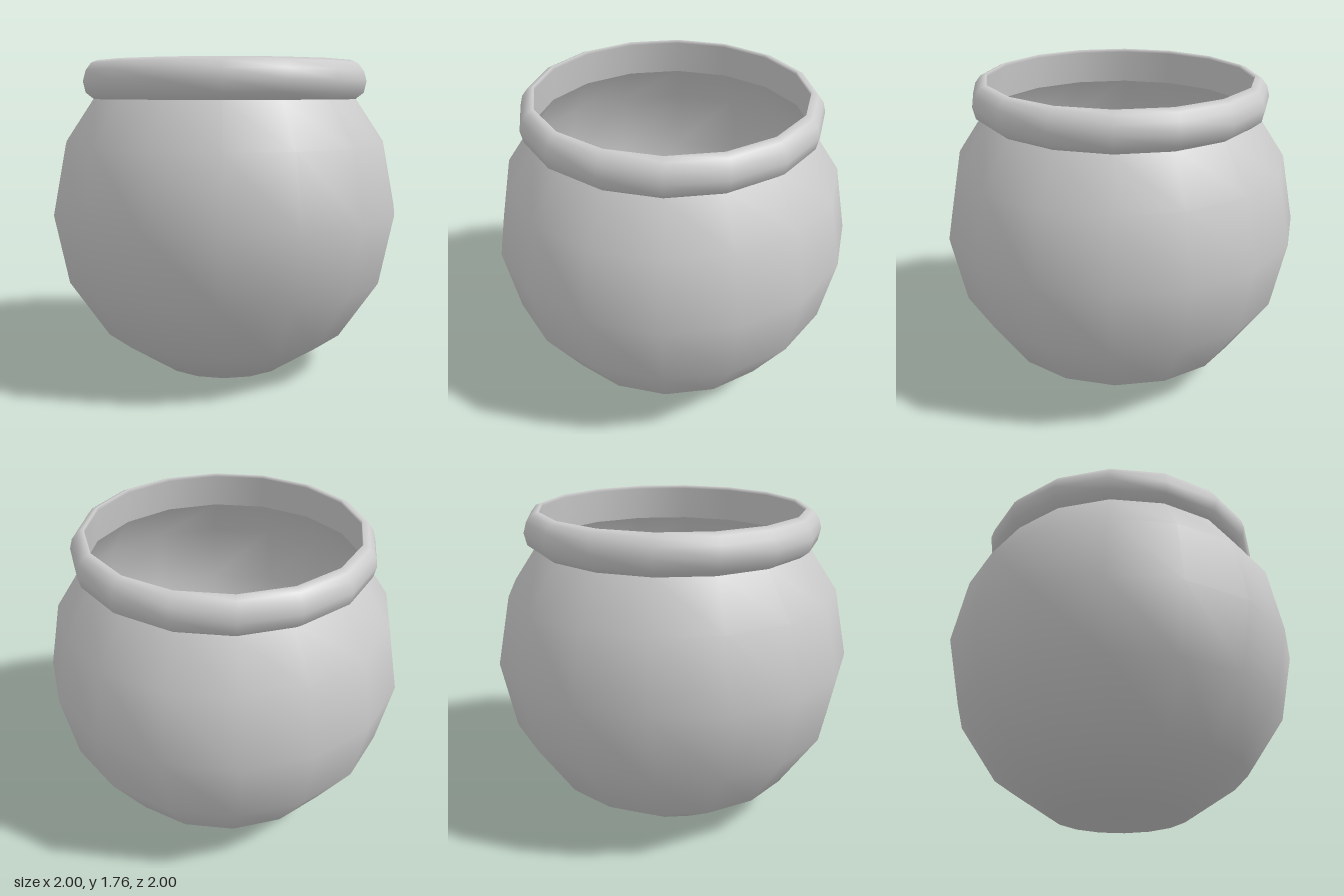
import * as THREE from 'three';

const SIDES = 16;

// Spin a profile of [radius, height] pairs around the y axis
function turned(name, profile) {
  const points = profile.map(([r, y]) => new THREE.Vector2(r, y));
  const mesh = new THREE.Mesh(
    new THREE.LatheGeometry(points, SIDES),
    new THREE.MeshStandardMaterial({ color: 0xcccccc, side: THREE.DoubleSide })
  );
  mesh.name = name;
  return mesh;
}

export function createModel() {
  const pot = new THREE.Group();
  pot.name = 'pot';

  // Round belly: rings of a unit sphere, flattened at the base and cut at the neck
  const centreY = Math.cos(Math.PI / 8);
  const belly = [[0, 0]];
  for (let i = 1; i <= 5; i++) {
    const a = (i * Math.PI) / 8;
    belly.push([Math.sin(a), centreY - Math.cos(a)]);
  }
  belly.push([0.76, 1.55]);
  pot.add(turned('belly', belly));

  // Rolled rim: rounded outside, slightly tapered inside wall
  pot.add(turned('rim', [
    [0.76, 1.55], [0.805, 1.585], [0.82, 1.65], [0.805, 1.705],
    [0.775, 1.745], [0.738, 1.76], [0.736, 1.74], [0.76, 1.55],
  ]));

  return pot;
}
